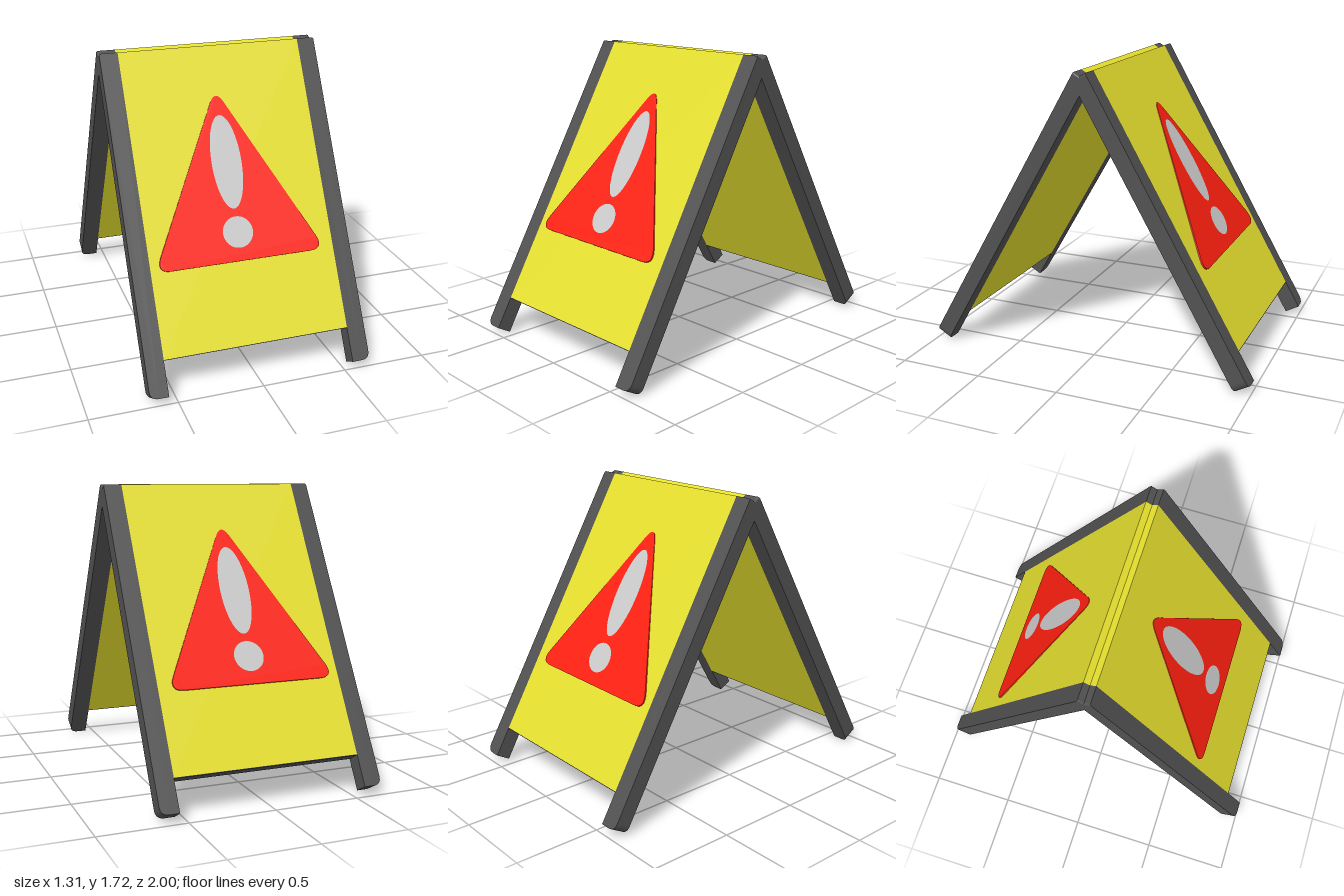
import * as THREE from 'three';

const T = 0.094;          // board thickness
const HALF = 0.55;        // half width of the panel
const OUTER = 0.657;      // outer face of the legs
const PANEL = 1.735;      // panel length down the slope

const yellow = new THREE.MeshStandardMaterial({ color: 0xe6e02e });
const red = new THREE.MeshStandardMaterial({ color: 0xff2010 });
const dark = new THREE.MeshStandardMaterial({ color: 0x515151 });
const grey = new THREE.MeshStandardMaterial({ color: 0xcccccc });

function add(group, name, geometry, material, x = 0, y = 0, z = 0) {
  const mesh = new THREE.Mesh(geometry, material);
  mesh.name = name;
  mesh.position.set(x, y, z);
  group.add(mesh);
  return mesh;
}

// Side leg with a rounded outer foot; side is +1 or -1
function legGeometry(side, length) {
  const r = 0.05, t = 0.012;
  const s = new THREE.Shape();
  s.moveTo(side * HALF, 0);
  s.lineTo(side * HALF, -length);
  s.lineTo(side * (OUTER - r), -length);
  s.quadraticCurveTo(side * OUTER, -length, side * OUTER, -length + r);
  s.lineTo(side * OUTER, -t);
  s.quadraticCurveTo(side * OUTER, 0, side * (OUTER - t), 0);
  s.closePath();
  return new THREE.ExtrudeGeometry(s, { depth: T, bevelEnabled: false, curveSegments: 8 });
}

// Triangle with rounded corners, base on y = 0
function triangleGeometry() {
  const w = 0.51, h = 1.005, slope = h / w;
  const s = new THREE.Shape();
  s.moveTo(-w + 0.095, 0);
  s.lineTo(w - 0.095, 0);
  s.quadraticCurveTo(w, 0, w - 0.045, 0.045 * slope);
  s.lineTo(0.042, h - 0.042 * slope);
  s.quadraticCurveTo(0, h, -0.042, h - 0.042 * slope);
  s.lineTo(-w + 0.045, 0.045 * slope);
  s.quadraticCurveTo(-w, 0, -w + 0.095, 0);
  return new THREE.ExtrudeGeometry(s, { depth: 0.012, bevelEnabled: false, curveSegments: 12 });
}

function ellipse(rx, ry) {
  const s = new THREE.Shape();
  s.absellipse(0, 0, rx, ry, 0, Math.PI * 2);
  return new THREE.ShapeGeometry(s, 32);
}

// One half of the stand: origin at its outer top edge, y up the slope, z outwards
function board(name, length, signX, signY) {
  const g = new THREE.Group();
  g.name = name;
  add(g, 'panel', new THREE.BoxGeometry(HALF * 2, PANEL, T), yellow, 0, -PANEL / 2, -T / 2);
  add(g, 'bottomEdge', new THREE.BoxGeometry(HALF * 2, 0.004, T), dark, 0, -PANEL - 0.002, -T / 2);
  for (const side of [-1, 1]) {
    add(g, side > 0 ? 'leftLeg' : 'rightLeg', legGeometry(side, length), dark, 0, 0, -T);
  }

  // Raised warning sign, leaning slightly into the panel at its tip
  const sign = new THREE.Group();
  sign.name = 'warningSign';
  sign.position.set(signX, signY, -0.003);
  sign.rotation.x = -0.006;
  add(sign, 'triangle', triangleGeometry(), red);
  add(sign, 'markStroke', ellipse(0.09, 0.274), grey, 0, 0.574, 0.0132);
  add(sign, 'markDot', ellipse(0.09, 0.09), grey, 0, 0.165, 0.0132);
  g.add(sign);
  return g;
}

export function createModel() {
  const model = new THREE.Group();
  model.name = 'floorSign';

  const front = board('frontBoard', 1.935, -0.015, -1.267);
  front.position.set(-0.002, 1.727, 0.034);
  front.rotation.x = -Math.PI / 6;
  model.add(front);

  // Back half, turned round and leaning the other way
  const back = board('backBoard', 1.922, 0.015, -1.272);
  back.rotation.x = -Math.PI / 6;
  const turn = new THREE.Group();
  turn.name = 'backHalf';
  turn.rotation.y = Math.PI;
  turn.position.set(-0.002, 1.727, -0.037);
  turn.add(back);
  model.add(turn);

  return model;
}
